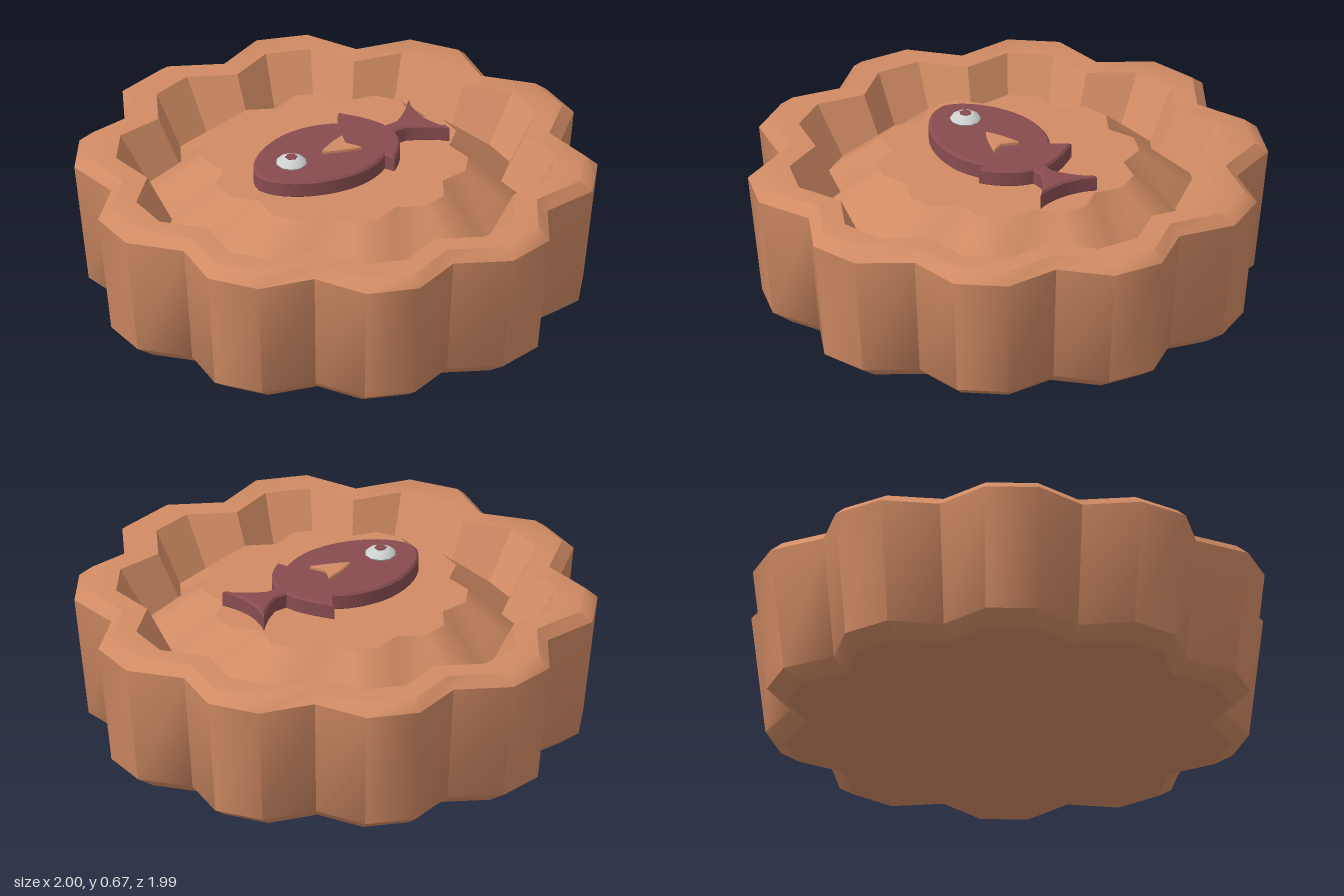
import * as THREE from 'three';
import { toCreasedNormals } from 'three/addons/utils/BufferGeometryUtils.js';

const SIDES = 30;
const clay = new THREE.MeshStandardMaterial({ color: 0xd18b64 });
clay.name = 'clay';
const plum = new THREE.MeshStandardMaterial({ color: 0x884c50 });
plum.name = 'plum';
const pale = new THREE.MeshStandardMaterial({ color: 0xccd1d0 });
pale.name = 'pale grey';

// Ten-lobed ring: two peaks and one valley per lobe
function ringPoint(i, [r, y]) {
  const a = (i / SIDES) * Math.PI * 2;
  const s = r * (i % 3 === 2 ? 0.88 : 1);
  return [s * Math.cos(a), y, s * Math.sin(a)];
}

// Surface through scalloped rings, profile running up the outside and down the inside
function scallop(profile, crease) {
  const pos = [];
  for (let k = 0; k < profile.length - 1; k++) {
    const [low, high] = [profile[k], profile[k + 1]];
    for (let i = 0; i < SIDES; i++) {
      const a = ringPoint(i, low), b = ringPoint(i + 1, low);
      const c = ringPoint(i, high), d = ringPoint(i + 1, high);
      if (low[0] > 0) pos.push(...a, ...c, ...b);
      if (high[0] > 0) pos.push(...b, ...c, ...d);
    }
  }
  const g = new THREE.BufferGeometry();
  g.setAttribute('position', new THREE.Float32BufferAttribute(pos, 3));
  g.computeVertexNormals();
  return crease ? toCreasedNormals(g, THREE.MathUtils.degToRad(crease)) : g;
}

// Flat plate lying on y, with a small bevel kept inside the outline
function plate(shape, y, height, bevel) {
  const g = new THREE.ExtrudeGeometry(shape, {
    depth: height - 2 * bevel, curveSegments: 10, bevelEnabled: true,
    bevelThickness: bevel, bevelSize: bevel, bevelOffset: -bevel, bevelSegments: 1,
  });
  g.rotateX(-Math.PI / 2);
  g.translate(0, y + bevel, 0);
  return g;
}

export function createModel() {
  const model = new THREE.Group();
  const add = (name, geometry, material, parent = model) => {
    const m = new THREE.Mesh(geometry, material);
    m.name = name;
    parent.add(m);
    return m;
  };

  // Scalloped dish
  const dish = new THREE.Group();
  dish.name = 'dish';
  model.add(dish);
  add('base', scallop([[0, 0], [0.87, 0]]), clay, dish);
  add('outerWall', scallop([[0.87, 0], [0.945, 0.05], [1, 0.535]], 45), clay, dish);
  add('rim', scallop([[1, 0.535], [0.95, 0.575], [0.84, 0.575]], 40), clay, dish);
  add('innerWall', scallop([[0.84, 0.575], [0.73, 0.38]]), clay, dish);
  add('moundSlope', scallop([[0.73, 0.38], [0.505, 0.57]], 45), clay, dish);
  add('moundTop', scallop([[0.505, 0.57], [0, 0.57]]), clay, dish);

  // Fish body with fins and forked tail (shape y points to the back)
  const fish = new THREE.Group();
  fish.name = 'fish';
  model.add(fish);
  const body = new THREE.Shape();
  body.moveTo(-0.39, -0.03);
  body.bezierCurveTo(-0.38, 0.08, -0.22, 0.18, -0.09, 0.18);
  body.quadraticCurveTo(0.02, 0.18, 0.1, 0.125);
  body.lineTo(0.15, 0.19);
  body.quadraticCurveTo(0.23, 0.08, 0.24, 0.005);
  body.lineTo(0.29, 0.005);
  body.quadraticCurveTo(0.36, 0.04, 0.425, 0.11);
  body.quadraticCurveTo(0.365, -0.025, 0.425, -0.155);
  body.quadraticCurveTo(0.36, -0.09, 0.29, -0.055);
  body.lineTo(0.24, -0.055);
  body.quadraticCurveTo(0.22, -0.15, 0.115, -0.22);
  body.lineTo(0.1, -0.18);
  body.quadraticCurveTo(0.02, -0.23, -0.07, -0.23);
  body.bezierCurveTo(-0.22, -0.23, -0.37, -0.14, -0.39, -0.03);
  add('fishBody', toCreasedNormals(plate(body, 0.565, 0.07, 0.008), 0.6), plum, fish);

  // Side fin on top of the body
  const fin = new THREE.Shape();
  fin.moveTo(-0.095, -0.035);
  fin.quadraticCurveTo(-0.03, 0.005, 0.045, 0.02);
  fin.lineTo(0.02, -0.04);
  fin.lineTo(0.05, -0.1);
  fin.quadraticCurveTo(-0.04, -0.07, -0.095, -0.035);
  add('sideFin', plate(fin, 0.63, 0.02, 0.005), clay, fish);

  // Domed eye and pupil
  const eyeProfile = [[0.045, 0.63], [0.06, 0.645], [0.053, 0.655], [0.028, 0.667], [0, 0.667]]
    .map(([r, y]) => new THREE.Vector2(r, y));
  const eye = add('eye', toCreasedNormals(new THREE.LatheGeometry(eyeProfile, 10), 0.7), pale, fish);
  eye.position.set(-0.235, 0, 0.03);
  const pupil = add('pupil', new THREE.CylinderGeometry(0.024, 0.024, 0.006, 6), plum, fish);
  pupil.position.set(-0.235, 0.667, 0.03);

  return model;
}
